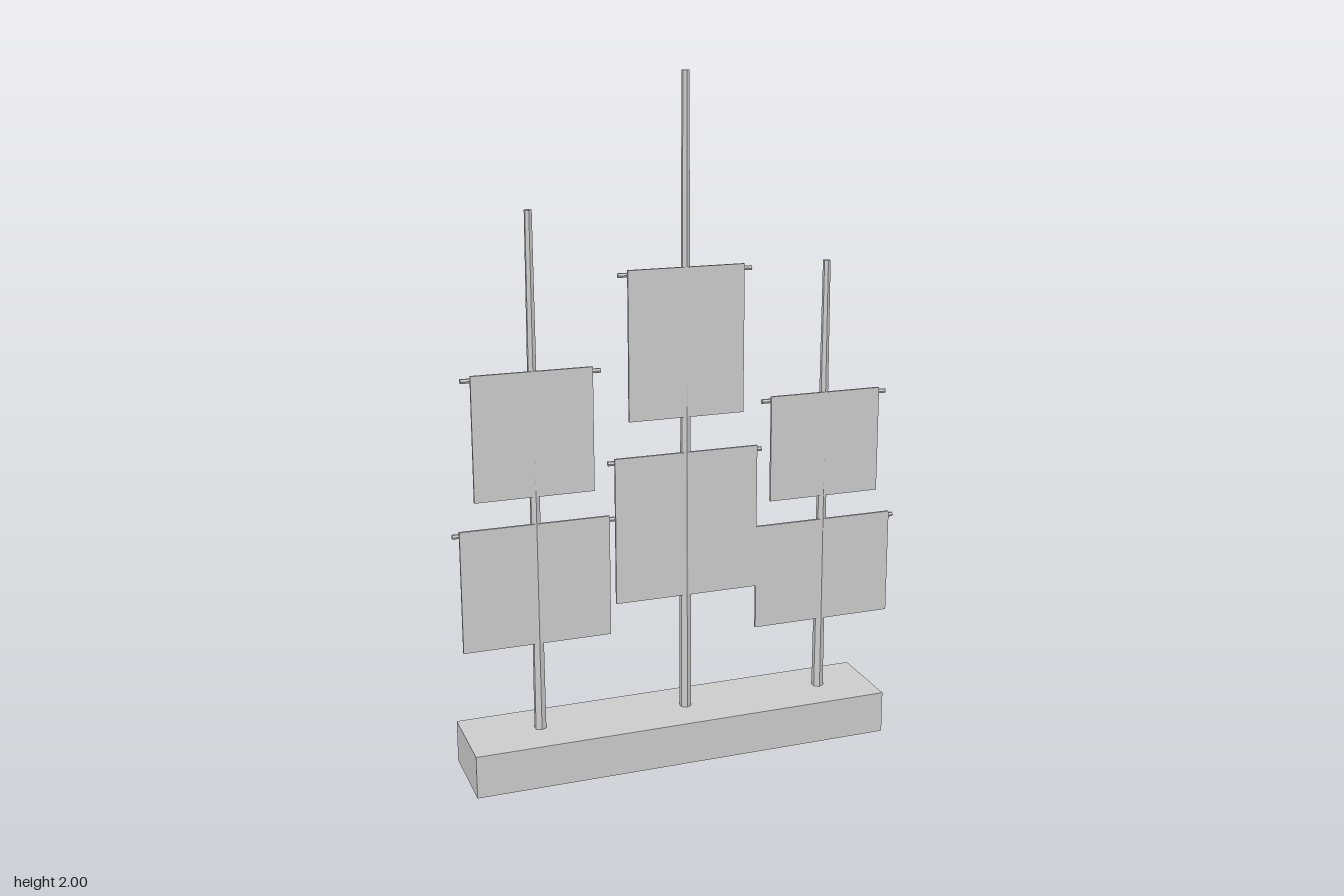
import * as THREE from 'three';

const grey = new THREE.MeshStandardMaterial({ color: 0xcccccc, flatShading: true });

function add(group, name, geometry, x, y, z) {
  const mesh = new THREE.Mesh(geometry, grey);
  mesh.name = name;
  mesh.position.set(x, y, z);
  group.add(mesh);
  return mesh;
}

// Each mast: position, height, and its sails as [centre x, width, bottom, top, yard overhang]
const MASTS = [
  { name: 'right', x: -0.446, height: 1.64, sails: [
    ['Lower', -0.449, 0.437, 0.395, 0.756, 0.018],
    ['Upper', -0.448, 0.348, 0.836, 1.197, 0.026]] },
  { name: 'middle', x: 0.005, height: 2.0, sails: [
    ['Lower', 0.006, 0.437, 0.485, 0.922, 0.018],
    ['Upper', 0.005, 0.348, 1.027, 1.461, 0.026]] },
  { name: 'left', x: 0.441, height: 1.455, sails: [
    ['Lower', 0.443, 0.437, 0.352, 0.671, 0.018],
    ['Upper', 0.442, 0.348, 0.745, 1.064, 0.026]] },
];

export function createModel() {
  const model = new THREE.Group();
  model.name = 'sailStand';

  // Plinth
  add(model, 'base', new THREE.BoxGeometry(1.27, 0.127, 0.25), -0.032, 0.0635, -0.002);

  for (const { name, x, height, sails } of MASTS) {
    const rig = new THREE.Group();
    rig.name = name + 'Rig';
    model.add(rig);

    // Tapered mast, running down through the plinth
    add(rig, name + 'Mast', new THREE.CylinderGeometry(0.011, 0.0185, height, 6), x, height / 2, -0.003);

    for (const [level, sx, width, bottom, top, overhang] of sails) {
      // Thin sail panel in front of its yard
      add(rig, name + level + 'Sail', new THREE.BoxGeometry(width, top - bottom, 0.008),
        sx, (top + bottom) / 2, 0.007);
      // Horizontal yard
      const yard = add(rig, name + level + 'Yard',
        new THREE.CylinderGeometry(0.007, 0.007, width + 2 * overhang, 6), sx, top - 0.015, -0.003);
      yard.rotation.z = Math.PI / 2;
    }
  }
  return model;
}
